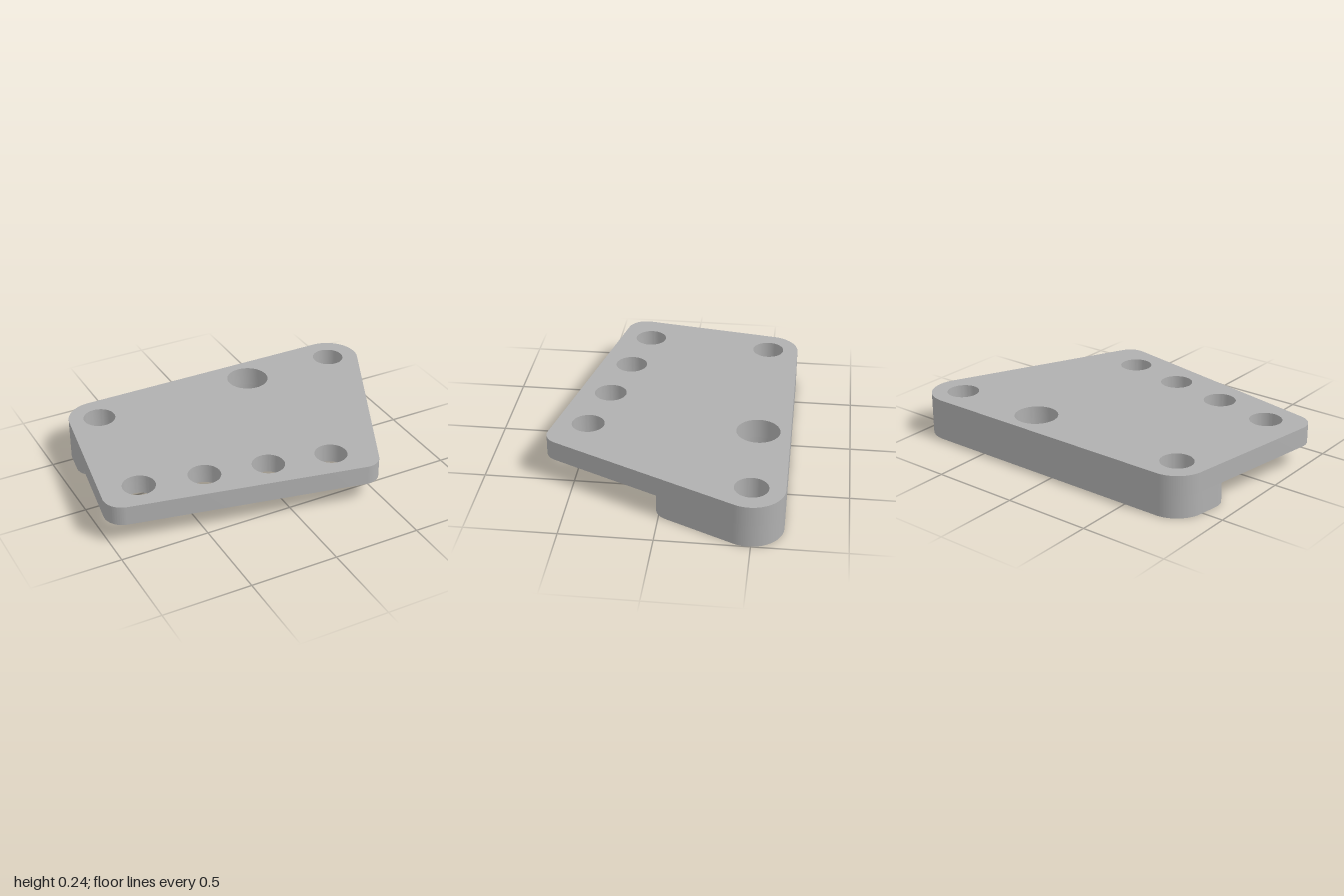
import * as THREE from 'three';
import { toCreasedNormals } from 'three/addons/utils/BufferGeometryUtils.js';

// Outline wrapped tightly around corner circles [x, z, radius]
function roundedOutline(corners) {
  const n = corners.length;
  // Angle of the tangent side's outward normal from corner i to the next one
  const normals = corners.map(([x, z, r], i) => {
    const [x2, z2, r2] = corners[(i + 1) % n];
    const d = Math.hypot(x2 - x, z2 - z);
    return Math.atan2(z2 - z, x2 - x) - Math.acos((r - r2) / d);
  });
  const shape = new THREE.Shape();
  corners.forEach(([x, z, r], i) => {
    shape.absarc(x, z, r, normals[(i + n - 1) % n], normals[i], false);
  });
  return shape;
}

// Flat plate between two heights, drilled with round holes [x, z, radius]
function plate(name, corners, holes, bottom, top, material) {
  const shape = roundedOutline(corners);
  for (const [x, z, r] of holes) {
    shape.holes.push(new THREE.Path().absarc(x, z, r, 0, Math.PI * 2, true));
  }
  const geometry = new THREE.ExtrudeGeometry(shape, {
    depth: top - bottom, bevelEnabled: false, curveSegments: 32,
  });
  geometry.rotateX(Math.PI / 2).translate(0, top, 0);
  const mesh = new THREE.Mesh(toCreasedNormals(geometry, 0.5), material);
  mesh.name = name;
  return mesh;
}

export function createModel() {
  const metal = new THREE.MeshStandardMaterial({ color: 0xb0b0b0 });
  metal.name = 'grey metal';

  const height = 0.24, step = 0.128;
  const backRight = [-0.70, -0.488, 0.177];
  const backLeft = [0.82, -0.486, 0.179];

  // Back bolt holes and the larger hole between them
  const backHoles = [[-0.702, -0.487, 0.091], [0.817, -0.487, 0.091], [0.257, -0.487, 0.121]];
  // Slanted row of four holes along the front
  const frontHoles = [];
  for (let i = 0; i < 4; i++) frontHoles.push([-0.777 + 0.353 * i, 0.24 + 0.071 * i, 0.091]);

  const group = new THREE.Group();
  group.name = 'mounting plate';
  group.add(
    plate('topPlate',
      [backLeft, [0.41, 0.56, 0.1], [-0.89, 0.287, 0.11], backRight],
      [...backHoles, ...frontHoles], step, height, metal),
    // Thicker rear section, its front edge parallel to the plate's
    plate('rearPad',
      [backLeft, [0.714, -0.08, 0.1], [-0.793, -0.384, 0.1], backRight],
      backHoles, 0, step, metal),
  );
  return group;
}
